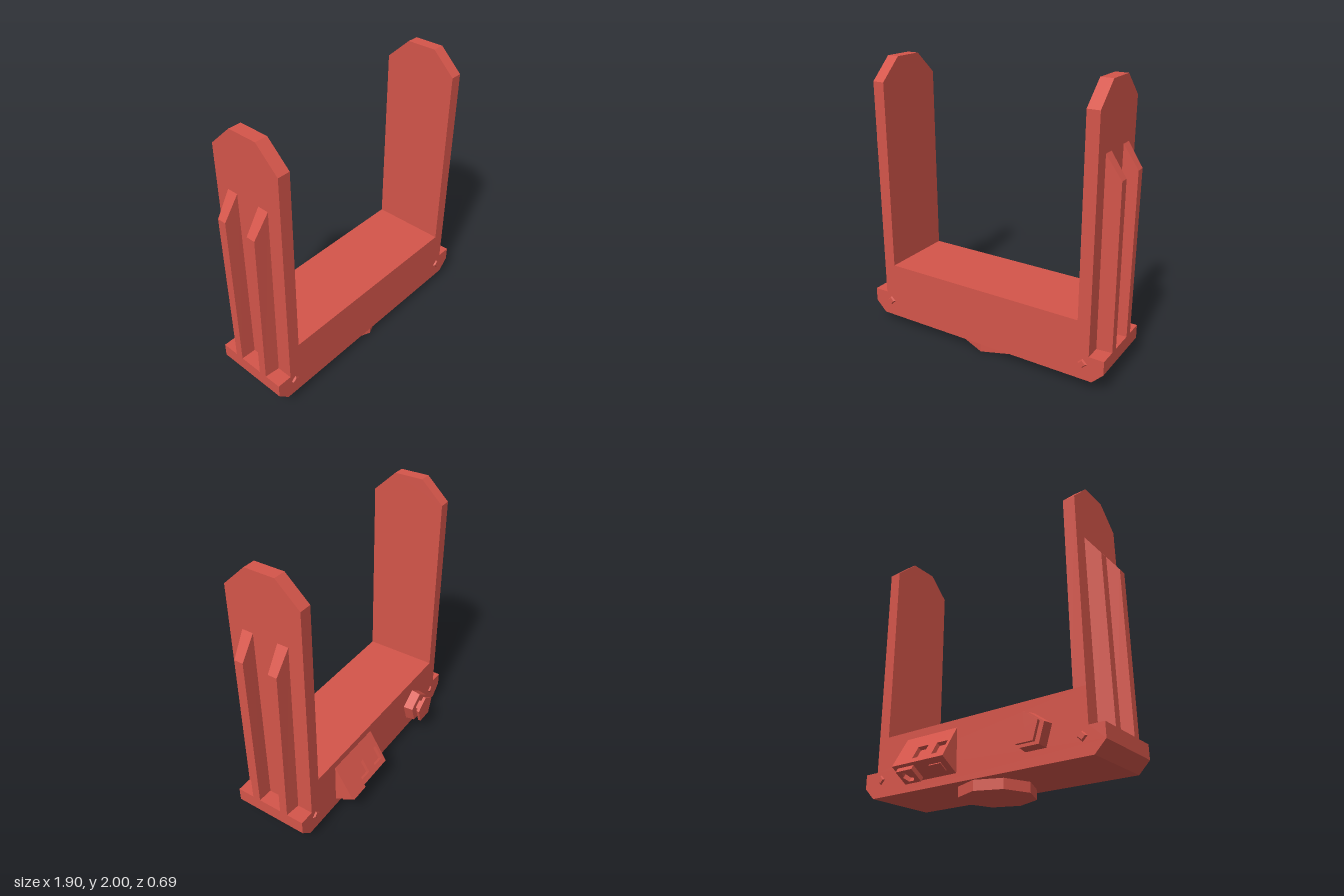
import * as THREE from 'three';

const red = new THREE.MeshStandardMaterial({ color: 0xd4554a });
red.name = 'red';

const BACK = -0.207, FRONT = 0.335, MID = 0.064;

const toShape = (pts) => new THREE.Shape(pts.map(([x, y]) => new THREE.Vector2(x, y)));
const rect = (x0, x1, y0, y1) => toShape([[x0, y0], [x1, y0], [x1, y1], [x0, y1]]);
const extrude = (shape, depth) => new THREE.ExtrudeGeometry(shape, { depth, bevelEnabled: false });

function add(parent, name, geometry, x = 0, y = 0, z = 0) {
  const flat = geometry.index ? geometry.toNonIndexed() : geometry;
  flat.computeVertexNormals();
  const mesh = new THREE.Mesh(flat, red);
  mesh.name = name;
  mesh.position.set(x, y, z);
  parent.add(mesh);
  return mesh;
}

// Prism whose axis points to the back, first corner up
const backPrism = (rOuter, rInner, depth, sides) =>
  new THREE.CylinderGeometry(rOuter, rInner, depth, sides).rotateX(-Math.PI / 2);

// Tapered rib on the outside of an arm, sloped at its upper end
function ribGeometry(side, flip) {
  const g = new THREE.BoxGeometry(1, 1, 1);
  const p = g.attributes.position;
  for (let i = 0; i < p.count; i++) {
    const outer = p.getX(i) * side > 0, top = p.getY(i) > 0, far = p.getZ(i) * flip > 0;
    const z = far ? (top ? 0.17 : 0.158) - (outer ? 0.012 : 0) : (top ? 0.09 : 0.083) + (outer ? 0.004 : 0);
    p.setXYZ(i, side * (outer ? 0.95 : 0.84), top ? (outer ? 1.415 : 1.575) : 0.245, MID + flip * z);
  }
  return g;
}

// Sloped socket box; local z is the normal of the upper face, local y runs up the slope
function socketBox() {
  const box = new THREE.Group();
  box.name = 'socketBox';
  box.position.set(0.345, 0.215, -0.345);
  box.rotation.set(0.5575, Math.PI, 0);
  const face = rect(-0.22, 0.22, 0, 0.258);
  face.holes.push(rect(0.105, 0.195, 0.041, 0.145), rect(-0.06, 0.03, 0.041, 0.145));
  add(box, 'socketFace', extrude(face, 0.03), 0, 0, -0.03);
  add(box, 'socketCore', new THREE.BoxGeometry(0.44, 0.258, 0.131), 0, 0.129, -0.0955);

  // Lower connectors
  const frame = rect(-0.185, -0.045, -0.14, -0.025);
  const hex = [];
  for (let i = 0; i < 6; i++) {
    const a = (i * Math.PI) / 3;
    hex.push([-0.115 + 0.045 * Math.cos(a), -0.0825 + 0.045 * Math.sin(a)]);
  }
  frame.holes.push(toShape(hex));
  add(box, 'hexConnector', extrude(frame, 0.035).rotateX(Math.PI / 2));
  add(box, 'squareConnector', new THREE.BoxGeometry(0.1, 0.008, 0.07), 0.12, -0.004, -0.085);
  return box;
}

export function createModel() {
  const model = new THREE.Group();
  model.name = 'forkBracket';

  // Base block with stepped, chamfered ends
  const half = [[0.87, 0.07], [0.95, 0.15], [0.95, 0.25], [0.843, 0.25], [0.843, 0.49]];
  const profile = [...half, ...half.map(([x, y]) => [-x, y]).reverse()];
  add(model, 'base', extrude(toShape(profile), FRONT - BACK), 0, 0, BACK);

  // Octagonal foot
  add(model, 'foot', new THREE.CylinderGeometry(0.257, 0.257, 0.07, 8), 0, 0.035, MID);

  // Upright arms with clipped tops, drawn as (-z, y)
  const armShape = toShape([
    [-FRONT, 0.49], [-BACK, 0.49], [-BACK, 1.845], [0.042, 2], [-0.172, 2], [-FRONT, 1.845],
  ]);
  for (const side of [-1, 1]) {
    const arm = extrude(armShape, 0.088).translate(0, 0, -0.044).rotateY(Math.PI / 2);
    add(model, 'arm', arm, side * 0.799, 0, 0);
    for (const flip of [-1, 1]) add(model, 'rib', ribGeometry(side, flip));

    // Diamond studs, front and back
    add(model, 'backStud', backPrism(0.024, 0.034, 0.012, 4), side * 0.8, 0.19, BACK - 0.006);
    const stud = backPrism(0.024, 0.034, 0.012, 4).rotateY(Math.PI);
    add(model, 'frontStud', stud, side * 0.8, 0.19, FRONT + 0.006);
  }

  // Five-sided knob on the back
  const knob = new THREE.Group();
  knob.name = 'knob';
  knob.position.set(-0.483, 0.27, BACK);
  add(knob, 'knobBase', backPrism(0.116, 0.126, 0.07, 5), 0, 0, -0.035);
  add(knob, 'knobNeck', backPrism(0.055, 0.055, 0.04, 5), 0, 0, -0.088);
  add(knob, 'knobCap', backPrism(0.106, 0.106, 0.022, 5), 0, 0, -0.113);
  model.add(knob);

  model.add(socketBox());
  return model;
}
